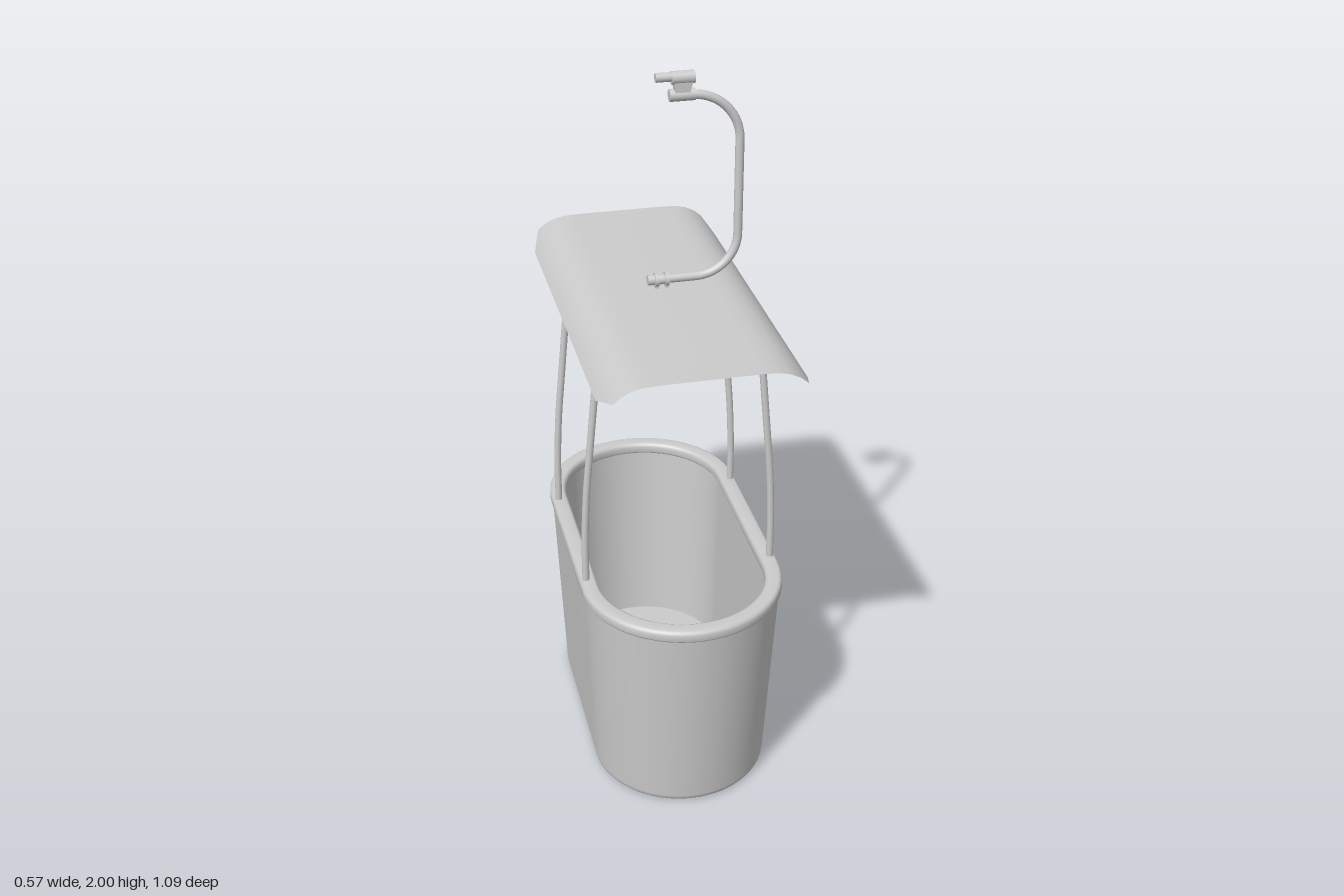
import * as THREE from 'three';

const mat = new THREE.MeshStandardMaterial({ color: 0xcccccc });
const sheetMat = new THREE.MeshStandardMaterial({ color: 0xcccccc, side: THREE.DoubleSide });

function add(parent, name, geometry, material = mat) {
  const mesh = new THREE.Mesh(geometry, material);
  mesh.name = name;
  parent.add(mesh);
  return mesh;
}

// Skin over stadium-shaped rings, each given as [half width, half length, y]
function loftStadium(rings, n = 28) {
  const pos = [], index = [], count = 2 * (n + 1);
  for (const [hw, hl, y] of rings) {
    for (let k = 0; k < count; k++) {
      const end = k <= n ? 1 : -1;
      const a = ((end > 0 ? k : k - 1) / n) * Math.PI;
      pos.push(hw * Math.cos(a), y, hw * Math.sin(a) + end * (hl - hw));
    }
  }
  for (let r = 0; r < rings.length - 1; r++) {
    for (let k = 0; k < count; k++) {
      const a = r * count + k, b = r * count + (k + 1) % count;
      index.push(a, a + count, b, b, a + count, b + count);
    }
  }
  const g = new THREE.BufferGeometry();
  g.setAttribute('position', new THREE.Float32BufferAttribute(pos, 3));
  g.setIndex(index);
  g.computeVertexNormals();
  return g;
}

// Polyline with rounded corners; each point is [x, y, corner radius]
function roundedPath(points, z) {
  const path = new THREE.CurvePath();
  const v = points.map(([x, y]) => new THREE.Vector3(x, y, z));
  let from = v[0];
  for (let i = 1; i < v.length - 1; i++) {
    const r = points[i][2];
    const p = v[i].clone().add(v[i - 1].clone().sub(v[i]).setLength(r));
    const q = v[i].clone().add(v[i + 1].clone().sub(v[i]).setLength(r));
    const k = 0.55;
    path.add(new THREE.LineCurve3(from, p));
    path.add(new THREE.CubicBezierCurve3(p, p.clone().lerp(v[i], k), q.clone().lerp(v[i], k), q));
    from = q;
  }
  path.add(new THREE.LineCurve3(from, v[v.length - 1]));
  return path;
}

// Cylinder lying along x from x0 to x1
function rodX(parent, name, x0, x1, y, r) {
  const m = add(parent, name, new THREE.CylinderGeometry(r, r, x1 - x0, 20));
  m.rotation.z = Math.PI / 2;
  m.position.set((x0 + x1) / 2, y, 0);
  return m;
}

// Curved sheet whose drooping edges are shortened at the corners
function roofGeometry() {
  const edge = [[0.13, 1.405], [0.17, 1.403], [0.2, 1.396], [0.225, 1.384], [0.247, 1.366], [0.26, 1.35], [0.272, 1.334]];
  const profile = [...edge.map(([x, y]) => [-x, y]).reverse(), ...edge];
  const g = new THREE.PlaneGeometry(1, 1, profile.length - 1, 8);
  const p = g.attributes.position;
  for (let i = 0; i < p.count; i++) {
    const [x, y] = profile[i % profile.length];
    const t = Math.max(0, (Math.abs(x) - 0.247) / 0.025);
    const row = Math.floor(i / profile.length);
    p.setXYZ(i, x, y, (row / 4 - 1) * (0.545 - 0.088 * t));
  }
  g.computeVertexNormals();
  return g;
}

export function createModel() {
  const model = new THREE.Group();
  model.name = 'gondola';

  // Tub: base, outer skin, inner lining and rim
  const tub = new THREE.Group();
  tub.name = 'tub';
  model.add(tub);
  add(tub, 'tubBase', loftStadium([[0.001, 0.221, 0], [0.235, 0.455, 0]]));
  add(tub, 'tubShell', loftStadium([
    [0.235, 0.455, 0], [0.243, 0.463, 0.003], [0.248, 0.468, 0.01], [0.25, 0.47, 0.02], [0.276, 0.52, 0.61],
  ]));
  add(tub, 'tubLining', loftStadium([[0.24, 0.484, 0.61], [0.225, 0.445, 0.03]]));
  add(tub, 'tubFloor', loftStadium([[0.226, 0.446, 0.03], [0.001, 0.221, 0.03]]));
  const rim = [
    [0.272, 0.6], [0.279, 0.602], [0.283, 0.608], [0.283, 0.624], [0.28, 0.632], [0.273, 0.636],
    [0.245, 0.636], [0.238, 0.632], [0.235, 0.624], [0.235, 0.608], [0.239, 0.602], [0.246, 0.6], [0.272, 0.6],
  ];
  add(tub, 'tubRim', loftStadium(rim.map(([w, y]) => [w, w + 0.243, y])));

  // Two hoops carrying the roof, joined by a beam
  const half = [[0.265, 0.61, 0], [0.265, 0.84, 0.1], [0.222, 1.27, 0.06]];
  const hoop = [
    [0.265, 0.61, 0], [0.265, 0.84, 0.12], [0.213, 1.39, 0.1],
    [-0.213, 1.39, 0.1], [-0.265, 0.84, 0.12], [-0.265, 0.61, 0],
  ];
  for (const z of [-0.215, 0.215]) {
    add(model, 'hoop', new THREE.TubeGeometry(roundedPath(hoop, z), 120, 0.01, 12));
    const foot = add(model, 'hoopClamp', new THREE.BoxGeometry(0.034, 0.028, 0.026));
    foot.position.set(0, 1.387, z);
  }
  const beam = add(model, 'roofBeam', new THREE.BoxGeometry(0.026, 0.022, 0.43));
  beam.position.set(0, 1.388, 0);

  add(model, 'roof', roofGeometry(), sheetMat);

  // Hanger arm
  const arm = [[-0.03, 1.427, 0], [0.21, 1.427, 0.115], [0.21, 1.936, 0.13], [0.03, 1.936, 0]];
  add(model, 'hangerArm', new THREE.TubeGeometry(roundedPath(arm, 0), 110, 0.012, 16));

  // Lower joint through the roof
  rodX(model, 'armEnd', -0.038, 0.02, 1.427, 0.014);
  for (const x of [-0.014, 0.014]) {
    rodX(model, 'jointCollar', x - 0.005, x + 0.005, 1.427, 0.019);
    const lug = add(model, 'jointLug', new THREE.BoxGeometry(0.01, 0.05, 0.02));
    lug.position.set(x, 1.4, 0);
  }

  // Cable grip at the top of the arm
  rodX(model, 'gripSleeve', 0.02, 0.088, 1.937, 0.016);
  rodX(model, 'gripJaw', 0.025, 0.086, 1.983, 0.017);
  rodX(model, 'gripPin', -0.016, 0.03, 1.986, 0.012);
  const web = new THREE.Shape([[0.035, 1.937], [0.07, 1.937], [0.084, 1.985], [0.03, 1.985]]
    .map(([x, y]) => new THREE.Vector2(x, y)));
  const body = add(model, 'gripBody', new THREE.ExtrudeGeometry(web, { depth: 0.026, bevelEnabled: false }));
  body.position.z = -0.013;

  return model;
}
